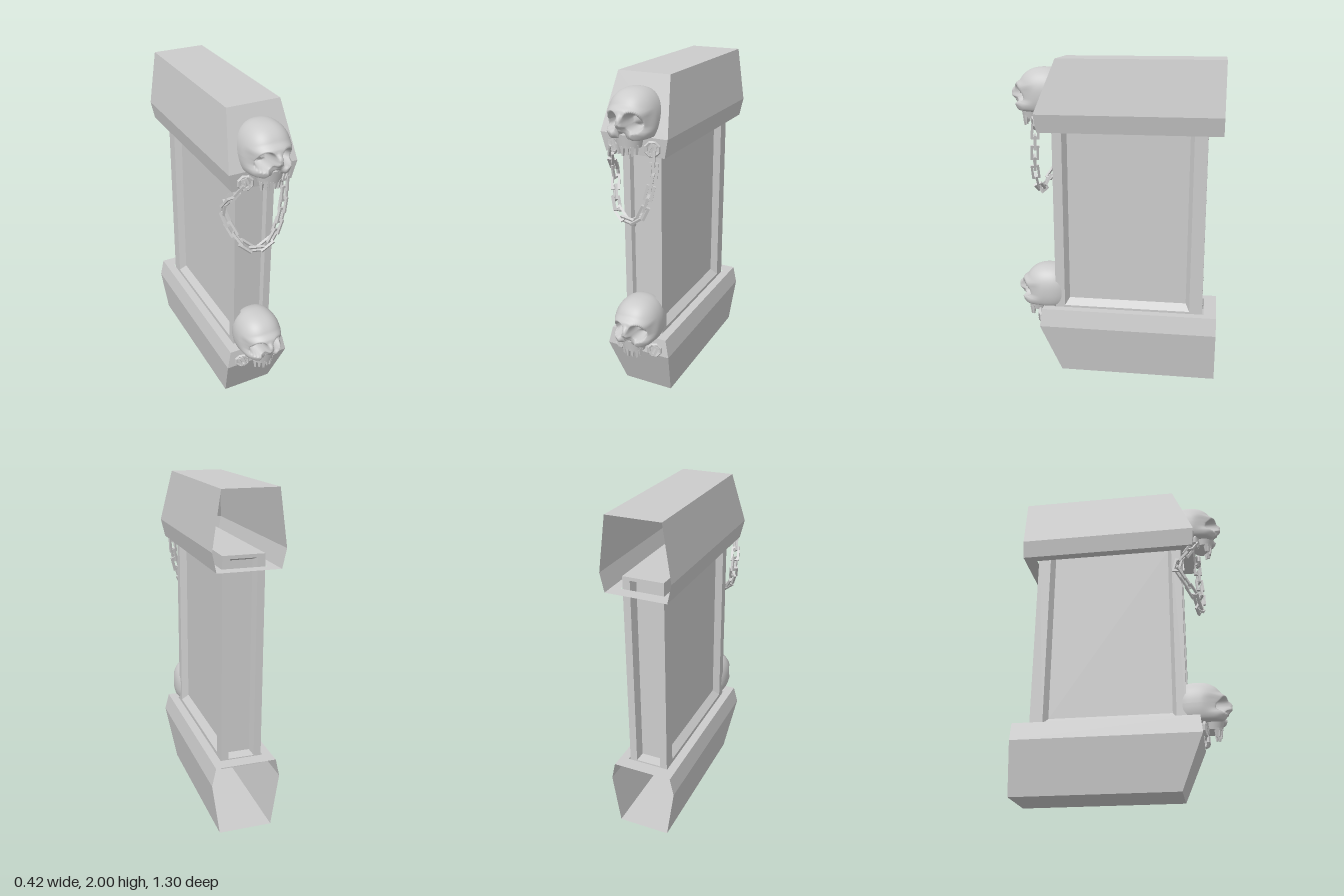
import * as THREE from 'three';

const CX = 0.007; // centre line of the body
const flat = () => new THREE.MeshStandardMaterial({ color: 0xcccccc, flatShading: true, side: THREE.DoubleSide });
const smooth = () => new THREE.MeshStandardMaterial({ color: 0xcccccc, side: THREE.DoubleSide });

function named(geometry, material, name, parent) {
  const mesh = new THREE.Mesh(geometry, material);
  mesh.name = name;
  parent.add(mesh);
  return mesh;
}

// Collects four-cornered faces into one geometry
class Quads {
  constructor() { this.data = []; }
  add(a, b, c, d) { for (const p of [a, b, c, a, c, d]) this.data.push(...p); }
  // Joins two rings of corners, closed or open
  band(r, s, closed = true) {
    const n = r.length;
    for (let i = 0; i < (closed ? n : n - 1); i++) {
      const j = (i + 1) % n;
      this.add(r[i], r[j], s[j], s[i]);
    }
  }
  build() {
    const g = new THREE.BufferGeometry();
    g.setAttribute('position', new THREE.Float32BufferAttribute(this.data, 3));
    g.computeVertexNormals();
    return g;
  }
}

// Hollow cap, open at the back, with a rim around the body
function capGeometry(flip) {
  const q = new Quads();
  const Y = y => (flip ? 2 - y : y);
  const back = -0.635;
  const ring = (y, w, front, rear = back) => [
    [CX - w, Y(y), rear], [CX - w, Y(y), front], [CX + w, Y(y), front], [CX + w, Y(y), rear]];
  // height, half width, front
  const rings = [[0, 0.16, 0.355], [0.32, 0.2075, 0.485], [0.43, 0.183, 0.473]].map(l => ring(...l));
  q.add(...rings[0]);
  q.band(rings[0], rings[1], false);
  q.band(rings[1], rings[2], false);
  q.band(rings[2], ring(0.43, 0.13, 0.405, -0.555));
  return q.build();
}

// Pillar body with a recessed panel in each of its four sides
function bodyGeometry() {
  const q = new Quads();
  const w = 0.1225, front = 0.395, back = -0.545, low = 0.37, high = 1.64;
  const rect = (map, u0, u1, v0, v1, d) =>
    [[u0, v0], [u1, v0], [u1, v1], [u0, v1]].map(([u, v]) => map(u, v, d));
  const panel = (map, u0, u1, a, b, v, inset, rise, depth) => {
    const outer = rect(map, u0, u1, low, high, 0);
    const frame = rect(map, a, b, v, 1.62, 0);
    const inner = rect(map, a + inset, b - inset, v + rise, 1.6, depth);
    q.band(outer, frame);
    q.band(frame, inner);
    q.add(...inner);
  };
  for (const s of [-1, 1]) {
    panel((u, v, d) => [CX + s * (w - d), v, u], back, front, -0.465, 0.335, 0.44, 0.025, 0.04, 0.04);
  }
  panel((u, v, d) => [CX + u, v, front - d], -w, w, -0.078, 0.078, 0.43, 0.008, 0.01, 0.03);
  panel((u, v, d) => [CX + u, v, back + d], -w, w, -0.078, 0.078, 0.43, 0.008, 0.01, 0.06);
  for (const y of [low, high]) {
    q.add([CX - w, y, back], [CX - w, y, front], [CX + w, y, front], [CX + w, y, back]);
  }
  return q.build();
}

// 1 in the middle of an ellipse, falling to 0 outside it
function dent(x, y, cx, cy, rx, ry) {
  const r = Math.hypot((x - cx) / rx, (y - cy) / ry);
  return 1 - THREE.MathUtils.smoothstep(r, 0.6, 1.05);
}

function craniumGeometry() {
  const g = new THREE.SphereGeometry(1, 64, 56).rotateX(Math.PI / 2);
  const p = g.attributes.position;
  const round = v => Math.sign(v) * Math.pow(Math.abs(v), 0.87);
  for (let i = 0; i < p.count; i++) {
    const nz = p.getZ(i);
    let x = 0.14 * round(p.getX(i));
    let y = 0.163 * round(p.getY(i));
    let z = 0.165 * round(nz);
    if (y < -0.09) y = -0.09 + (y + 0.09) * 0.25; // flat underside
    const face = THREE.MathUtils.smoothstep(nz, 0.1, 0.5);
    if (face > 0) {
      const ax = Math.abs(x);
      z += 0.02 * face * dent(x, y, 0, 0.03, 0.14, 0.06);              // brow
      z += 0.025 * face * dent(ax, y, 0.085, -0.07, 0.05, 0.04);       // cheekbones
      z += 0.02 * face * dent(x, y, 0, -0.01, 0.025, 0.06);            // nose bridge
      z -= 0.085 * face * dent(ax, y + (ax - 0.065) * 0.3, 0.065, 0.005, 0.047, 0.05); // eye sockets
      z -= 0.05 * face * dent(x, y, 0, -0.075, 0.022, 0.03);           // nose hole
      x *= 1 - 0.06 * face * dent(0, y, 0, 0.0, 1, 0.05);              // temples
    }
    p.setXYZ(i, x, y, z);
  }
  g.computeVertexNormals();
  return g;
}

// Rectangular link with a hole, centred, long along y
function linkGeometry(w, h, bar) {
  const box = (P, a, b) => new P([[-a, -b], [a, -b], [a, b], [-a, b]].map(c => new THREE.Vector2(...c)));
  const shape = box(THREE.Shape, w / 2, h / 2);
  shape.holes.push(box(THREE.Path, w / 2 - bar, h / 2 - bar));
  return new THREE.ExtrudeGeometry(shape, { depth: bar, bevelEnabled: false }).translate(0, 0, -bar / 2);
}

function skull() {
  const group = new THREE.Group();
  group.name = 'skull';
  named(craniumGeometry(), smooth(), 'cranium', group).position.set(0, 0.52, 0.455);
  // Upper jaw and teeth
  const jaw = named(new THREE.CylinderGeometry(0.085, 0.07, 0.075, 20), smooth(), 'upperJaw', group);
  jaw.position.set(0, 0.415, 0.535);
  jaw.scale.z = 0.85;
  for (let i = 0; i < 6; i++) {
    const a = (i - 2.5) * 0.42;
    const geometry = new THREE.CylinderGeometry(0.016, 0.007, 0.055, 4).rotateY(Math.PI / 4);
    const tooth = named(geometry, flat(), 'tooth', group);
    tooth.position.set(Math.sin(a) * 0.064, 0.36 + 0.008 * (i % 2), 0.533 + Math.cos(a) * 0.052);
    tooth.rotation.y = a;
  }
  // Wall rings on both sides of the jaw
  for (const s of [-1, 1]) {
    const ring = new THREE.Group();
    ring.name = 'wallRing';
    named(new THREE.TorusGeometry(0.038, 0.011, 5, 8), flat(), 'ringLoop', ring);
    const eye = named(linkGeometry(0.038, 0.066, 0.012), flat(), 'ringLink', ring);
    eye.position.z = 0.01;
    ring.position.set(s * 0.118, 0.362, 0.497);
    ring.rotation.set(0, s * 0.3, -s * 0.4);
    group.add(ring);
  }
  group.position.x = 0.01;
  return group;
}

function chain() {
  const group = new THREE.Group();
  group.name = 'chain';
  const path = new THREE.CatmullRomCurve3([
    [-0.12, 1.61, 0.49], [-0.16, 1.52, 0.44], [-0.178, 1.41, 0.375], [-0.15, 1.3, 0.43],
    [-0.1, 1.22, 0.48], [-0.03, 1.18, 0.495], [0.05, 1.22, 0.505], [0.1, 1.33, 0.51],
    [0.13, 1.46, 0.5], [0.138, 1.6, 0.49]].map(c => new THREE.Vector3(...c)));
  const geometry = linkGeometry(0.052, 0.092, 0.014);
  const count = 16;
  for (let i = 0; i < count; i++) {
    const t = (i + 0.5) / count;
    const link = named(geometry, flat(), 'chainLink', group);
    link.position.copy(path.getPointAt(t));
    link.quaternion.setFromUnitVectors(new THREE.Vector3(0, 1, 0), path.getTangentAt(t));
    link.rotateY((i % 2) * Math.PI / 2 + 0.35);
  }
  return group;
}

export function createModel() {
  const model = new THREE.Group();
  model.name = 'skullPillar';
  named(capGeometry(false), flat(), 'base', model);
  named(capGeometry(true), flat(), 'topCap', model);
  named(bodyGeometry(), flat(), 'panelledBody', model);
  const lower = skull();
  const upper = skull();
  upper.position.y = 1.26;
  model.add(lower, upper, chain());
  return model;
}
